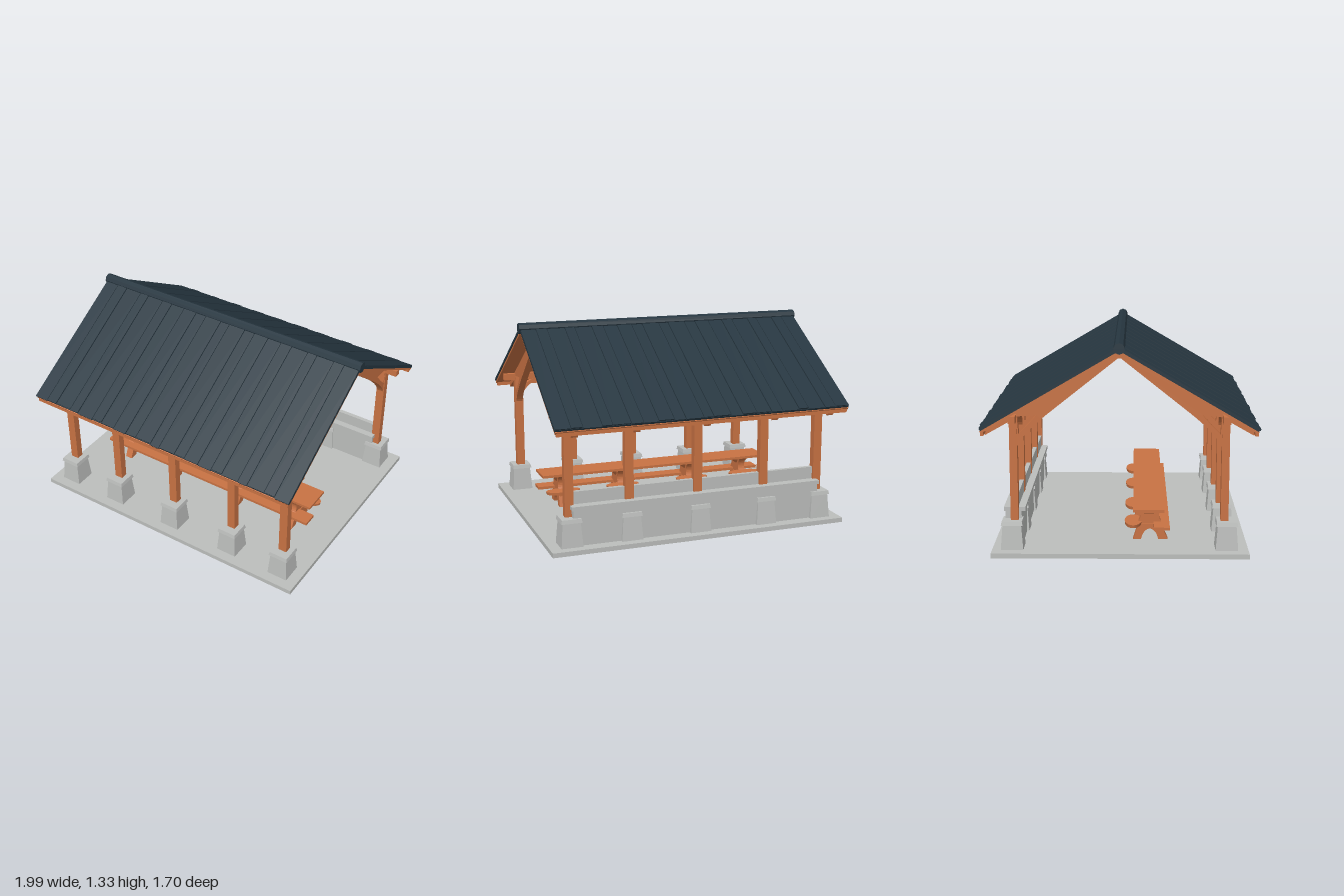
import * as THREE from 'three';

export function createModel() {
  const model = new THREE.Group();
  const mat = (name, color) => {
    const m = new THREE.MeshStandardMaterial({ color });
    m.name = name;
    return m;
  };
  const wood = mat('orange wood', 0xc87243);
  const stone = mat('grey stone', 0xbcbebc);
  const slate = mat('dark roofing', 0x263640);

  const add = (name, geo, material, x = 0, y = 0, z = 0) => {
    const mesh = new THREE.Mesh(geo, material);
    mesh.name = name;
    mesh.position.set(x, y, z);
    model.add(mesh);
    return mesh;
  };
  // Box given by its lower and upper limits
  const box = (name, material, x0, x1, y0, y1, z0, z1) =>
    add(name, new THREE.BoxGeometry(x1 - x0, y1 - y0, z1 - z0), material,
      (x0 + x1) / 2, (y0 + y1) / 2, (z0 + z1) / 2);
  // Square tapered block
  const taper = (name, material, top, bottom, y0, y1, x, z) => {
    let g = new THREE.CylinderGeometry(top * Math.SQRT1_2, bottom * Math.SQRT1_2, y1 - y0, 4);
    g.rotateY(Math.PI / 4);
    g = g.toNonIndexed();
    g.computeVertexNormals();
    return add(name, g, material, x, (y0 + y1) / 2, z);
  };
  // Extrude a (z, y) profile along x, centred on the given x
  const slice = (name, shape, thickness, x, z = 0) => {
    const g = new THREE.ExtrudeGeometry(shape, { depth: thickness, bevelEnabled: false, curveSegments: 8 });
    g.translate(0, 0, -thickness / 2);
    g.rotateY(-Math.PI / 2);
    return add(name, g, wood, x, 0, z);
  };

  const postX = [-0.855, -0.463, 0, 0.463, 0.855];
  const slope = 0.583;
  const angle = Math.atan(slope);

  // Floor
  box('floorSlab', stone, -0.995, 0.995, 0, 0.03, -0.79, 0.8);

  // Rafter with haunched knee brace, for one side of the ridge
  const trussShape = (s) => {
    const shape = new THREE.Shape();
    shape.moveTo(0, 1.27);
    shape.lineTo(s * 0.835, 0.783);
    shape.lineTo(s * 0.82, 0.75);
    shape.lineTo(s * 0.65, 0.846);
    shape.lineTo(s * 0.65, 0.68);
    shape.lineTo(s * 0.628, 0.675);
    shape.quadraticCurveTo(s * 0.6, 0.75, s * 0.44, 0.88);
    shape.lineTo(0, 1.23);
    shape.closePath();
    shape.holes.push(new THREE.Path([[0.625, 0.865], [0.505, 0.875], [0.545, 0.83], [0.617, 0.755]]
      .map(([z, y]) => new THREE.Vector2(s * z, y))));
    return shape;
  };

  // Brace between post and long beam, in (x, y)
  const braceGeo = (d) => {
    const b = new THREE.Shape();
    b.moveTo(0, 0.73);
    b.quadraticCurveTo(d * 0.03, 0.8, d * 0.14, 0.845);
    b.lineTo(d * 0.1, 0.845);
    b.quadraticCurveTo(d * 0.03, 0.82, 0, 0.775);
    b.closePath();
    const g = new THREE.ExtrudeGeometry(b, { depth: 0.035, bevelEnabled: false, curveSegments: 6 });
    return g.translate(0, 0, -0.0175);
  };

  for (const s of [-1, 1]) {
    const zPost = s * 0.65;
    postX.forEach((x, i) => {
      taper('pedestal', stone, 0.115, 0.14, 0.03, 0.19, x, s * 0.665);
      taper('pedestalCap', stone, 0.125, 0.135, 0.185, 0.21, x, s * 0.665);
      box('post', wood, x - 0.028, x + 0.028, 0.2, 0.87, zPost - 0.024, zPost + 0.024);
      slice('rafterBrace', trussShape(s), 0.045, x);
      for (const d of [-1, 1]) {
        if ((i === 0 && d < 0) || (i === 4 && d > 0)) continue;
        add('beamBrace', braceGeo(d), wood, x + d * 0.027, 0, zPost);
      }
    });
    box('longBeam', wood, -0.96, 0.96, 0.835, 0.88, zPost - 0.022, zPost + 0.022);
    box('eaveBoard', wood, -0.97, 0.97, 0.765, 0.797, s * 0.828 - 0.01, s * 0.828 + 0.01);

    // Roof lining, roofing sheet and irregular boards
    const layer = (name, material, x, w, t, len, yTop) => {
      const m = add(name, new THREE.BoxGeometry(w, t, len), material, x,
        yTop - slope * len / 2 * Math.cos(angle) - t / 2, s * len / 2 * Math.cos(angle));
      m.rotation.x = s * angle;
    };
    layer('roofLining', wood, 0, 1.955, 0.016, 0.97, 1.284);
    layer('roofSheet', slate, 0, 1.962, 0.014, 0.972, 1.298);
    const count = 21;
    const edge = (i) => -0.983 + 1.966 * i / count + (i % count ? 0.014 * Math.sin(i * 2.7) : 0);
    for (let i = 0; i < count; i++) {
      const a = edge(i), b = edge(i + 1);
      layer('roofBoard', slate, (a + b) / 2, b - a - 0.005, 0.012,
        0.978 + 0.005 * Math.sin(i * 1.9 + s), 1.306 + 0.003 * (i % 2));
    }
  }

  // Ridge
  const ridge = new THREE.CylinderGeometry(0.035, 0.035, 1.98, 8).toNonIndexed();
  ridge.computeVertexNormals();
  ridge.rotateZ(Math.PI / 2);
  add('ridgeCap', ridge, slate, 0, 1.296, 0);
  box('ridgeBeam', wood, -0.96, 0.96, 1.235, 1.27, -0.02, 0.02);

  // Low back wall with ledge and thin upper panel
  box('backWall', stone, -0.84, 0.84, 0.03, 0.265, -0.712, -0.61);
  box('wallLedge', stone, -0.85, 0.85, 0.26, 0.285, -0.72, -0.585);
  box('wallPanel', stone, -0.84, 0.84, 0.28, 0.365, -0.658, -0.63);

  // Long table with front bench and rounded back seats
  box('tableTop', wood, -0.83, 0.83, 0.245, 0.262, 0.085, 0.28);
  box('frontBench', wood, -0.83, 0.83, 0.13, 0.148, 0.215, 0.315);

  // Trestle: flared head, narrow waist and splayed feet
  const trestle = new THREE.Shape();
  trestle.moveTo(-0.09, 0.245);
  trestle.quadraticCurveTo(-0.04, 0.2, -0.07, 0.15);
  trestle.lineTo(-0.1, 0.13);
  trestle.lineTo(-0.075, 0.12);
  trestle.lineTo(-0.105, 0.03);
  trestle.lineTo(-0.055, 0.03);
  trestle.quadraticCurveTo(-0.04, 0.095, 0, 0.1);
  trestle.quadraticCurveTo(0.04, 0.095, 0.055, 0.03);
  trestle.lineTo(0.115, 0.03);
  trestle.lineTo(0.075, 0.12);
  trestle.lineTo(0.1, 0.13);
  trestle.lineTo(0.07, 0.15);
  trestle.quadraticCurveTo(0.04, 0.2, 0.09, 0.245);
  trestle.closePath();

  for (const x of [-0.67, -0.26, 0.26, 0.69]) {
    slice('trestle', trestle, 0.05, x, 0.19);
    taper('trestleHead', wood, 0.12, 0.06, 0.2, 0.246, x, 0.185);
    box('seatArm', wood, x - 0.03, x + 0.03, 0.115, 0.132, 0.06, 0.3);
    const seat = add('backSeat', new THREE.CylinderGeometry(0.5, 0.48, 0.02, 20), wood, x, 0.14, 0.085);
    seat.scale.set(0.24, 1, 0.11);
  }

  return model;
}
